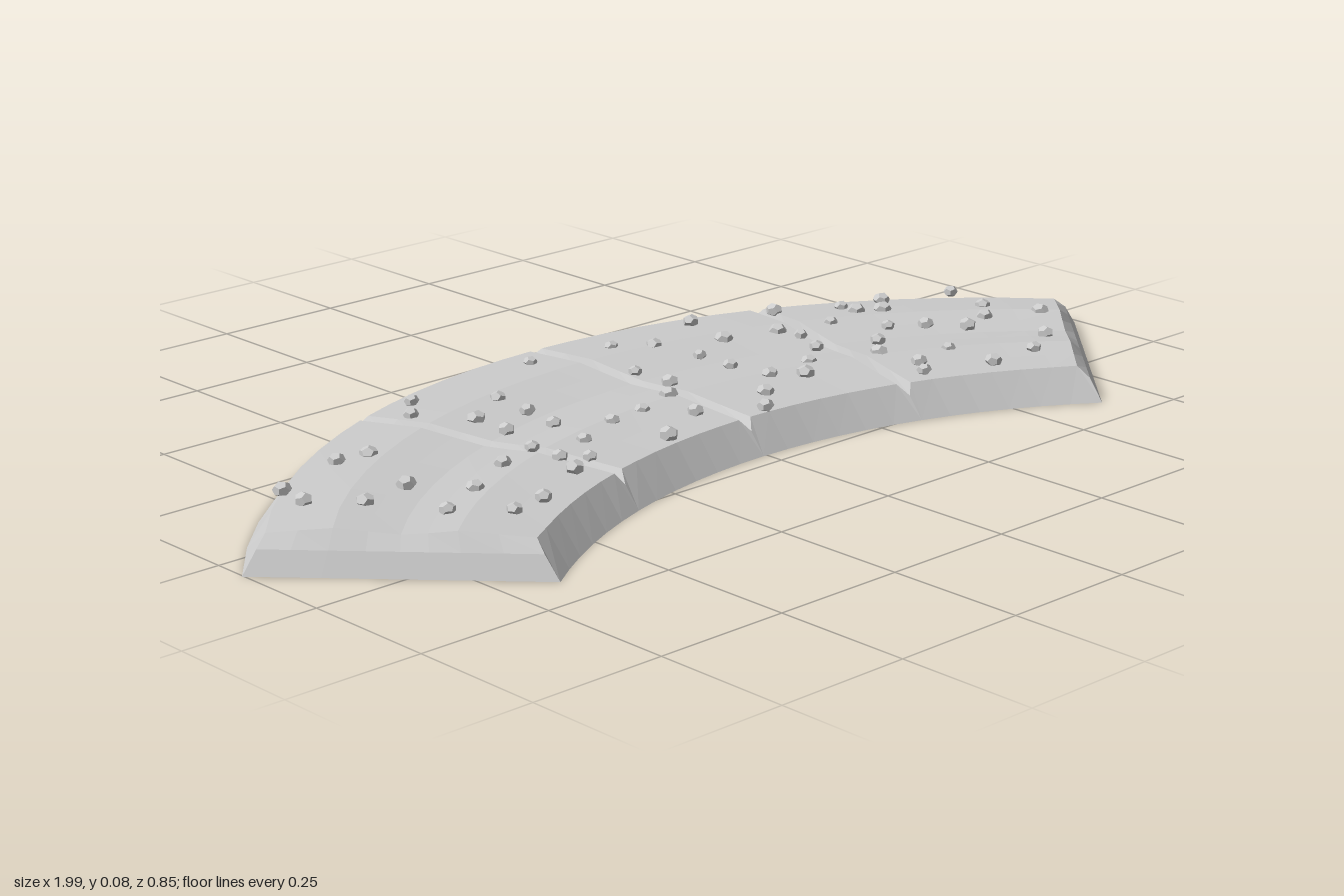
import * as THREE from 'three';

// Point on a circular arc across the model: half chord, middle z, sagitta, u in -1..1
function arc(u, half, midZ, sag, byAngle) {
  const r = (half * half + sag * sag) / (2 * sag);
  const x = byAngle ? r * Math.sin(u * Math.asin(half / r)) : u * half;
  return new THREE.Vector3(x - 0.008, 0, midZ + r - Math.sqrt(r * r - x * x));
}
const outerBase = u => arc(u, 0.995, -0.43, 0.495, false);
const innerBase = u => arc(u, 0.65, 0.215, 0.208, true);
const outerTop = u => arc(u, 0.95, -0.377, 0.442, false);
const innerTop = u => arc(u, 0.655, 0.168, 0.205, true);

// Rutted surface across the width, outer edge to inner edge: [t, height]
const RUTS = [[0, 0.057], [0.12, 0.062], [0.25, 0.067], [0.38, 0.062], [0.5, 0.058],
  [0.6, 0.061], [0.71, 0.066], [0.86, 0.061], [1, 0.057]];
const GROOVE_Y = 0.038;

// One cross-section: base edge, top points, base edge. dx shifts the top along the road.
function section(u, dx = 0, groove = false) {
  const ob = outerBase(u), ib = innerBase(u), ot = outerTop(u), it = innerTop(u);
  if (groove) { // the cut runs out through the sloping sides
    ot.lerp(ob, 0.35);
    it.lerp(ib, 0.35);
  }
  const tilt = u * 0.75; // heading of the road, for shifts along it
  const top = RUTS.map(([t, h]) => {
    const p = ot.clone().lerp(it, t);
    p.x += dx * Math.cos(tilt);
    p.z += dx * Math.sin(tilt);
    p.y = groove ? GROOVE_Y : h;
    return p;
  });
  return [ob, ...top, ib];
}

// End of the road: straight base line and a lip just above it
function endRows(u) {
  const ob = outerBase(u), ib = innerBase(u);
  const base = [ob, ...RUTS.map(([t]) => ob.clone().lerp(ib, t)), ib];
  const top = section(u);
  const lip = base.map((p, i) => {
    if (i === 0 || i === base.length - 1) return p.clone();
    const q = p.clone().lerp(top[i], 0.65);
    q.y = GROOVE_Y;
    return q;
  });
  return [base, lip, section(u, -0.012 * Math.sign(u))];
}

function roadGeometry() {
  const rows = [...endRows(-1)], steps = 6;
  for (let s = 0; s < 4; s++) {
    const u0 = -1 + s * 0.5;
    for (let i = 1; i < steps; i++) rows.push(section(u0 + 0.5 * i / steps));
    const u = u0 + 0.5;
    if (s < 3) rows.push(section(u, -0.014), section(u, 0, true), section(u, 0.014));
  }
  rows.push(...endRows(1).reverse());

  const n = rows[0].length, index = [];
  for (let r = 0; r < rows.length - 1; r++) {
    for (let j = 0; j < n - 1; j++) {
      const a = r * n + j, b = a + n;
      index.push(a, a + 1, b, a + 1, b + 1, b);
    }
  }
  const g = new THREE.BufferGeometry().setFromPoints(rows.flat());
  g.setIndex(index);
  g.computeVertexNormals();
  return g;
}

// Pebble places, x and z in hundredths
const PEBBLES = [
  -8, -31, -38, -28, -43, -22, -67, -12, -61, -11, -82, -7, -83, 0, -76, 7, -66, 5, -59, 14, -69, 19,
  -61, 26, -54, 25, -48, 8, -39, 5, -36, -5, -36, -13, -27, -10, -26, -19, -28, -2, -20, 4, -12, 3,
  -3, 0, -6, 10, -18, 16, -30, 8, -39, 12, -41, 18, -35, 15, 9, -28, 15, -23, 30, -29, 27, -17,
  38, -14, 2, -14, 17, -13, 2, -5, 17, -5, 29, 3, 18, 4, 11, 10, 23, 8, 5, 16, 36, -2, 39, -9,
  47, -24, 58, -17, 67, -15, 62, -10, 58, -13, 80, -9, 78, 1, 83, 11, 73, 6, 73, 21, 64, 26,
  53, 26, 53, 15, 43, 17, 42, 8, 47, 3, 61, 2, 66, 8, 55, -2, 49, -11, 40, 21];

export function createModel() {
  const model = new THREE.Group();
  model.name = 'curvedRoad';

  // Open-bottomed road shell with cross grooves
  const shellMaterial = new THREE.MeshStandardMaterial({
    color: 0xcccccc, flatShading: true, side: THREE.DoubleSide });
  const road = new THREE.Mesh(roadGeometry(), shellMaterial);
  road.name = 'roadSurface';
  model.add(road);

  // Scattered pebbles
  let seed = 7;
  const rand = () => (seed = (seed * 16807) % 2147483647) / 2147483647;
  const pebbles = new THREE.Group();
  pebbles.name = 'pebbles';
  const stone = new THREE.DodecahedronGeometry(0.017);
  const stoneMaterial = new THREE.MeshStandardMaterial({ color: 0xcccccc, flatShading: true });
  for (let i = 0; i < PEBBLES.length; i += 2) {
    const m = new THREE.Mesh(stone, stoneMaterial);
    m.name = 'pebble';
    const s = 0.75 + rand() * 0.3;
    m.scale.set(s, s * 0.8, s);
    m.rotation.y = rand() * Math.PI;
    m.position.set(PEBBLES[i] / 100, 0.065 + rand() * 0.003, PEBBLES[i + 1] / 100);
    pebbles.add(m);
  }
  model.add(pebbles);
  return model;
}
